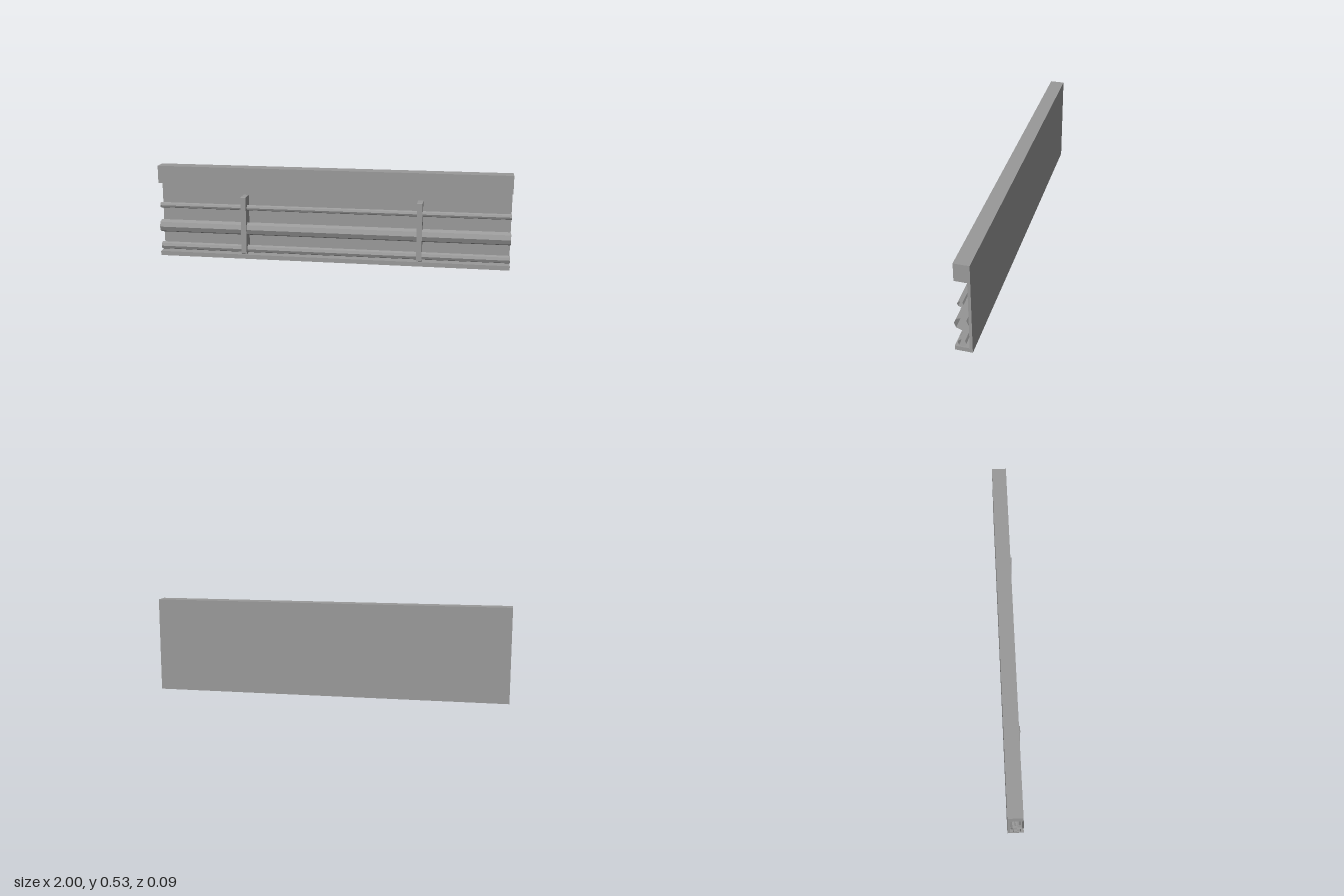
import * as THREE from 'three';

export function createModel() {
  const group = new THREE.Group();
  const grey = new THREE.MeshStandardMaterial({ color: 0x999999, flatShading: true });
  grey.name = 'grey';
  const pipeGrey = grey.clone();
  pipeGrey.name = 'pipe grey';
  pipeGrey.side = THREE.DoubleSide;

  // Extrude a [z, y] profile along x, centred on the given x
  function profileAlongX(name, points, width, x) {
    const shape = new THREE.Shape(points.map(([z, y]) => new THREE.Vector2(-z, y)));
    const geo = new THREE.ExtrudeGeometry(shape, { depth: width, bevelEnabled: false });
    geo.translate(0, 0, -width / 2);
    geo.rotateY(Math.PI / 2);
    const mesh = new THREE.Mesh(geo, grey);
    mesh.name = name;
    mesh.position.x = x;
    group.add(mesh);
  }

  // Wall panel with a bottom lip and a deep top beam
  profileAlongX('wallPanel', [
    [-0.045, 0], [0.046, 0], [0.046, 0.025], [-0.03, 0.025],
    [-0.03, 0.427], [0.036, 0.427], [0.036, 0.528], [-0.045, 0.528],
  ], 2, 0);

  // Brackets with slightly chamfered front corners
  const c = 0.003;
  for (const [name, x] of [['rightBracket', -0.5], ['leftBracket', 0.5]]) {
    profileAlongX(name, [
      [-0.031, 0.027], [0.046 - c, 0.027], [0.046, 0.027 + c],
      [0.046, 0.361 - c], [0.046 - c, 0.361], [-0.031, 0.361],
    ], 0.03, x);
  }

  // Open octagonal pipes running through the brackets
  const pipes = [
    ['upperPipe', 0.294, 0.016],
    ['middlePipe', 0.171, 0.037],
    ['lowerPipe', 0.052, 0.022],
  ];
  for (const [name, y, radius] of pipes) {
    const geo = new THREE.CylinderGeometry(radius, radius, 2, 8, 1, true);
    geo.rotateZ(Math.PI / 2);
    const pipe = new THREE.Mesh(geo, pipeGrey);
    pipe.name = name;
    pipe.position.set(0, y, 0.008);
    group.add(pipe);
  }

  return group;
}
